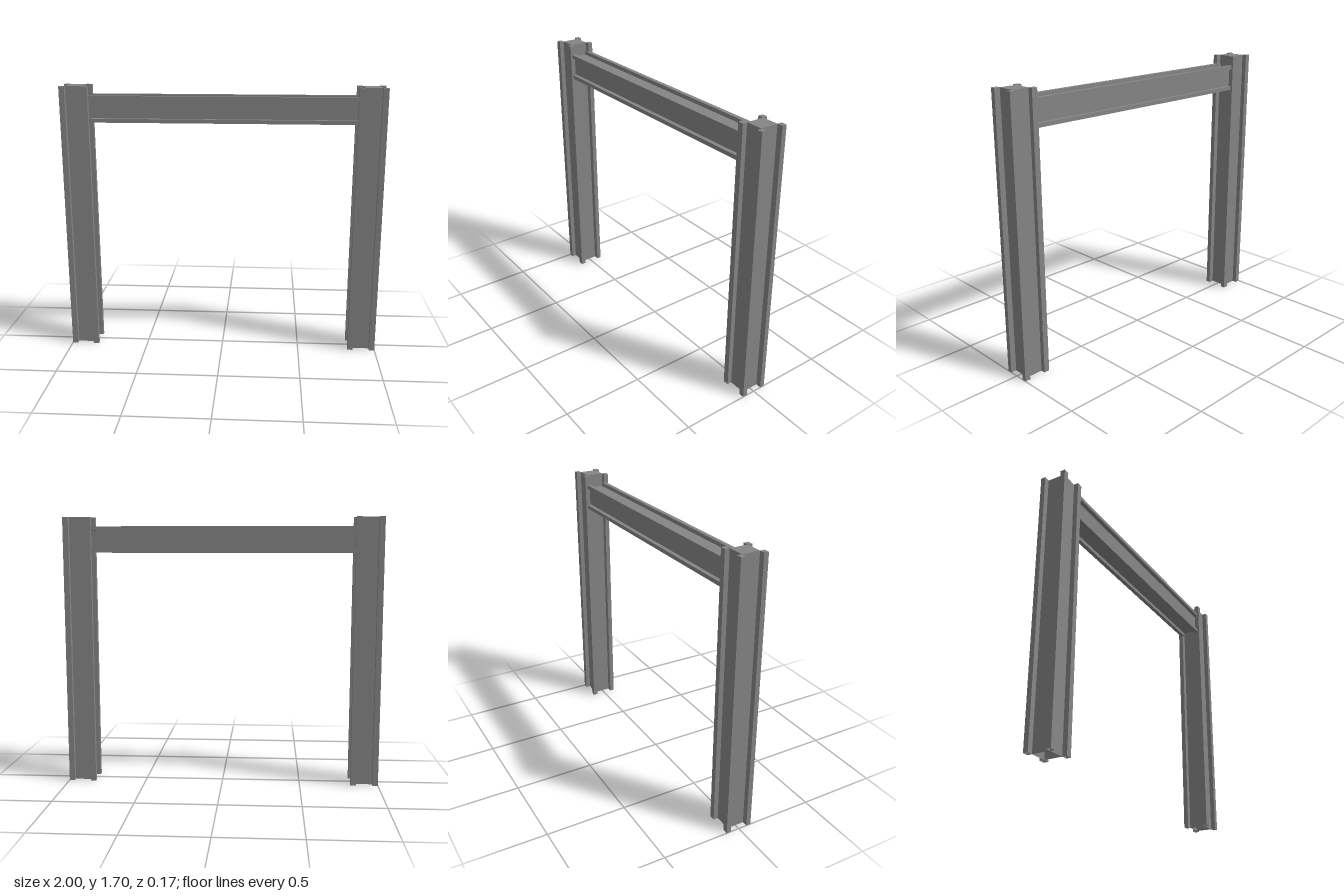
import * as THREE from 'three';

const steel = new THREE.MeshStandardMaterial({ color: 0x858585, flatShading: true, side: THREE.DoubleSide });

function addBox(parent, name, size, pos, openBase) {
  const geometry = new THREE.BoxGeometry(...size);
  if (openBase) {
    // Drop the two triangles of the underside
    const index = Array.from(geometry.index.array);
    index.splice(18, 6);
    geometry.setIndex(index);
    geometry.clearGroups();
  }
  const mesh = new THREE.Mesh(geometry, steel);
  mesh.name = name;
  mesh.position.set(...pos);
  parent.add(mesh);
}

// Square core with a slim bar running along each of its four corners.
// u and v are the half widths of the section, bu and bv the bar widths.
function ribbedBar(name, length, u, v, bu, bv, openBase) {
  const bar = new THREE.Group();
  bar.name = name;
  addBox(bar, 'core', [2 * (u - bu), length, 2 * (v - bv)], [0, 0, 0], openBase);
  for (const su of [-1, 1]) {
    for (const sv of [-1, 1]) {
      addBox(bar, 'cornerBar', [bu, length, bv], [su * (u - bu / 2), 0, sv * (v - bv / 2)], openBase);
    }
  }
  return bar;
}

export function createModel() {
  const model = new THREE.Group();
  model.name = 'postFrame';

  // Upright posts, hollow and open at the foot
  for (const side of [-1, 1]) {
    const post = ribbedBar(side > 0 ? 'leftPost' : 'rightPost', 1.7, 0.0875, 0.084, 0.035, 0.029, true);
    post.position.set(side * 0.9125, 0.85, 0);
    model.add(post);
  }

  // Crossbeam laid on its side, slightly short of the left post's core
  const beam = ribbedBar('crossbeam', 1.701, 0.082, 0.072, 0.024, 0.026, false);
  beam.rotation.z = Math.PI / 2;
  beam.position.set(-0.0075, 1.56, 0);
  model.add(beam);

  return model;
}
